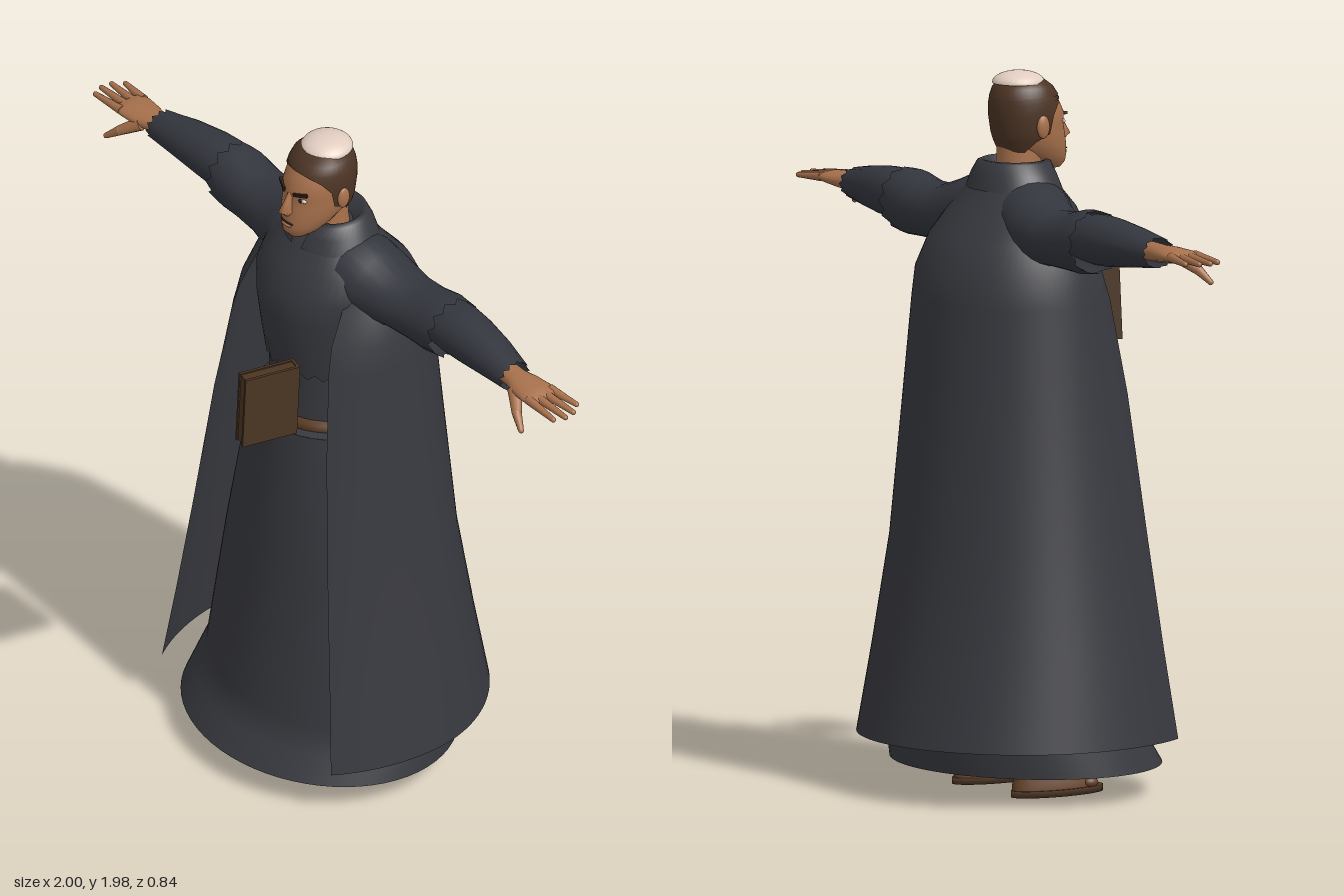
import * as THREE from 'three';
import { mergeVertices } from 'three/addons/utils/BufferGeometryUtils.js';

const material = (name, color, side = THREE.FrontSide) => {
  const m = new THREE.MeshStandardMaterial({ color, side });
  m.name = name;
  return m;
};

// Skin a surface over a row of cross-sections; point(ring, t, row, column) gives each corner
function loft(rows, segments, point) {
  const pos = [], index = [], w = segments + 1;
  rows.forEach((ring, j) => {
    for (let i = 0; i <= segments; i++) pos.push(...point(ring, i / segments, j, i));
  });
  for (let j = 0; j < rows.length - 1; j++) {
    for (let i = 0; i < segments; i++) {
      const a = j * w + i, b = a + 1, c = a + w, d = c + 1;
      index.push(a, b, d, a, d, c);
    }
  }
  const g = new THREE.BufferGeometry();
  g.setAttribute('position', new THREE.Float32BufferAttribute(pos, 3));
  g.setIndex(index);
  const merged = mergeVertices(g, 1e-5);
  merged.computeVertexNormals();
  return merged;
}

// Upright form. Ring: [y, half width, front z, back z, opening angle at the front]
function upright(rings, { cx = 0, cz = null, segments = 40, jag = 0 } = {}) {
  return loft(rings, segments, ([y, rx, zf, zb, open = 0], t, j, i) => {
    const a = open + t * (Math.PI * 2 - 2 * open);
    const mid = cz === null ? (zf + zb) / 2 : cz;
    const c = Math.cos(a);
    const z = mid + (c > 0 ? zf - mid : mid - zb) * c;
    return [cx + rx * Math.sin(a), y + (j === 0 && i % 2 ? jag : 0), z];
  });
}

// Form along the arm. Ring: [x, bottom y, top y, back z, front z]
function sideways(rings, s, jag = 0) {
  return loft(rings, 24, ([x, y0, y1, z0, z1], t, j, i) => {
    const a = t * Math.PI * 2;
    const ragged = j === rings.length - 1 && i % 2 ? jag : 0;
    return [
      s * (x - ragged),
      (y0 + y1) / 2 - s * (y1 - y0) / 2 * Math.sin(a),
      (z0 + z1) / 2 + (z1 - z0) / 2 * Math.cos(a),
    ];
  });
}

export function createModel() {
  const model = new THREE.Group();
  model.name = 'robedFigure';
  const cloth = material('robe cloth', 0x38393f, THREE.DoubleSide);
  const sleeveCloth = material('sleeve cloth', 0x34363e, THREE.DoubleSide);
  const skin = material('skin', 0xa8714c);
  const hairMat = material('hair', 0x4c3424, THREE.DoubleSide);
  const scalp = material('shaved scalp', 0xe2cdc0, THREE.DoubleSide);
  const leather = material('leather', 0x59391f);
  const cover = material('book cover', 0x4b3524);
  const sandal = material('sandal', 0x664329);
  const dark = material('dark features', 0x2a1b14);
  const white = material('eye white', 0xcfc4b8);

  const add = (name, geometry, mat, x = 0, y = 0, z = 0) => {
    const m = new THREE.Mesh(geometry, mat);
    m.name = name;
    m.position.set(x, y, z);
    model.add(m);
    return m;
  };
  const ball = (name, mat, x, y, z, sx, sy, sz) =>
    add(name, new THREE.SphereGeometry(1, 16, 12), mat, x, y, z).scale.set(sx, sy, sz);
  // Tapered limb between two points with a rounded tip
  const limb = (name, mat, p, q, r0, r1) => {
    const a = new THREE.Vector3(...p), b = new THREE.Vector3(...q);
    const d = b.clone().sub(a), mid = a.clone().add(b).multiplyScalar(0.5);
    const m = add(name, new THREE.CylinderGeometry(r1, r0, d.length(), 10), mat, mid.x, mid.y, mid.z);
    m.quaternion.setFromUnitVectors(new THREE.Vector3(0, 1, 0), d.normalize());
    ball(name + 'Tip', mat, ...q, r1, r1, r1);
  };

  // Robe
  add('skirt', upright([
    [0.08, 0.42, 0.39, -0.31], [0.15, 0.408, 0.345, -0.32], [0.215, 0.395, 0.302, -0.32],
    [0.65, 0.32, 0.262, -0.275], [1.0, 0.247, 0.226, -0.225], [1.105, 0.222, 0.216, -0.21],
  ], { segments: 64 }), cloth);
  add('skirtTop', upright([[1.105, 0.222, 0.216, -0.21], [1.112, 0.16, 0.15, -0.15]]), cloth);
  add('waist', upright([
    [1.09, 0.178, 0.178, -0.17], [1.18, 0.17, 0.17, -0.16], [1.3, 0.163, 0.17, -0.16],
  ]), cloth);
  add('belt', upright([
    [1.105, 0.186, 0.19, -0.178], [1.112, 0.192, 0.195, -0.182], [1.13, 0.19, 0.193, -0.18],
    [1.137, 0.176, 0.178, -0.17],
  ]), leather);
  add('tunic', upright([
    [1.268, 0.172, 0.18, -0.168], [1.36, 0.183, 0.194, -0.175], [1.46, 0.2, 0.203, -0.185],
    [1.54, 0.21, 0.198, -0.18], [1.61, 0.19, 0.16, -0.135], [1.66, 0.155, 0.12, -0.115],
    [1.7, 0.105, 0.095, -0.09], [1.7, 0.05, 0.06, -0.04],
  ], { jag: 0.018, segments: 48 }), cloth);
  add('collar', upright([
    [1.66, 0.15, 0.125, -0.122, 0.12], [1.7, 0.128, 0.112, -0.112, 0.22],
    [1.732, 0.105, 0.1, -0.098, 0.5], [1.738, 0.09, 0.085, -0.085, 0.6],
    [1.7, 0.068, 0.07, -0.055, 0.4],
  ]), cloth);

  // Open cloak: [y, half width, back depth, front edge x, front edge z]
  const cloak = [
    [0.157, 0.45, 0.42, 0.362, 0.3], [0.4, 0.415, 0.374, 0.328, 0.276],
    [0.7, 0.37, 0.325, 0.288, 0.25], [1.1, 0.322, 0.293, 0.24, 0.215],
    [1.36, 0.295, 0.271, 0.206, 0.18], [1.44, 0.285, 0.262, 0.195, 0.16],
    [1.53, 0.255, 0.22, 0.18, 0.11], [1.6, 0.215, 0.16, 0.165, 0.05], [1.67, 0.15, 0.11, 0.12, 0.02],
  ].map(([y, rx, back, ex, ez]) => {
    const open = Math.asin(ex / rx);
    return [y, rx, ez / Math.cos(open), -back, open];
  });
  add('cloak', upright(cloak, { cz: 0, segments: 64 }), cloth);

  // Head and face
  add('neck', upright([
    [1.64, 0.07, 0.09, -0.055], [1.72, 0.06, 0.085, -0.045], [1.8, 0.062, 0.1, -0.045],
  ]), skin);
  add('head', upright([
    [1.703, 0, 0.12, 0.12], [1.706, 0.03, 0.147, 0.08], [1.722, 0.048, 0.16, 0.04],
    [1.745, 0.064, 0.162, 0], [1.775, 0.078, 0.158, -0.035], [1.805, 0.084, 0.153, -0.05],
    [1.835, 0.087, 0.146, -0.057], [1.858, 0.088, 0.15, -0.06], [1.89, 0.087, 0.134, -0.06],
    [1.925, 0.079, 0.112, -0.052], [1.95, 0.055, 0.08, -0.035], [1.958, 0, 0.02, 0.02],
  ], { segments: 32 }), skin);
  add('hair', upright([
    [1.76, 0.07, 0.15, -0.04, 2.1], [1.79, 0.086, 0.15, -0.052, 1.75],
    [1.81, 0.091, 0.155, -0.058, 1.35], [1.86, 0.095, 0.154, -0.066, 1.25],
    [1.89, 0.094, 0.14, -0.066, 0.95], [1.905, 0.091, 0.131, -0.064, 0.55],
    [1.912, 0.09, 0.128, -0.063, 0], [1.935, 0.081, 0.112, -0.056], [1.955, 0.06, 0.085, -0.04],
    [1.962, 0, 0.02, 0.02],
  ], { cz: 0.035, segments: 36 }), hairMat);
  add('tonsure', new THREE.SphereGeometry(1, 28, 8, 0, Math.PI * 2, 0, Math.PI / 2), scalp, 0, 1.946, 0.016)
    .scale.set(0.071, 0.033, 0.073);
  add('nose', loft([
    [1.785, 0.016, 0.168], [1.794, 0.018, 0.183], [1.82, 0.012, 0.168], [1.852, 0.008, 0.152],
  ], 12, ([y, r, z], t) => [r * Math.sin(t * 6.2832), y, z - 0.03 + 0.03 * Math.cos(t * 6.2832)]), skin);
  add('noseBase', new THREE.SphereGeometry(0.014, 12, 8), skin, 0, 1.789, 0.156);
  ball('mouth', dark, 0, 1.756, 0.157, 0.026, 0.003, 0.0065);
  ball('lowerLip', skin, 0, 1.748, 0.157, 0.02, 0.006, 0.009);
  for (const s of [1, -1]) {
    ball('ear', skin, s * 0.095, 1.832, 0.035, 0.01, 0.032, 0.02);
    const brow = add('eyebrow', new THREE.BoxGeometry(0.042, 0.009, 0.009), dark, s * 0.038, 1.856, 0.141);
    brow.rotation.set(0, s * 0.42, s * 0.16);
    ball('eye', white, s * 0.036, 1.835, 0.132, 0.017, 0.007, 0.008);
    ball('iris', dark, s * 0.035, 1.835, 0.137, 0.008, 0.007, 0.005);
  }

  for (const s of [1, -1]) {
    // Wide upper sleeve over a narrow lower sleeve, both with ragged cuffs
    add('upperSleeve', sideways([
      [0.05, 1.5, 1.69, -0.11, 0.1], [0.13, 1.475, 1.69, -0.125, 0.11], [0.19, 1.468, 1.664, -0.13, 0.085],
      [0.28, 1.478, 1.634, -0.128, 0.058], [0.36, 1.478, 1.638, -0.128, 0.05],
      [0.43, 1.476, 1.655, -0.13, 0.05], [0.485, 1.484, 1.655, -0.125, 0.045],
    ], s, 0.022), sleeveCloth);
    add('lowerSleeve', sideways([
      [0.4, 1.52, 1.64, -0.115, 0.03], [0.5, 1.51, 1.65, -0.118, 0.035], [0.56, 1.512, 1.648, -0.112, 0.033],
      [0.66, 1.523, 1.635, -0.095, 0.03], [0.765, 1.534, 1.616, -0.07, 0.026],
    ], s, 0.014), sleeveCloth);

    // Hand with four spread fingers and a lowered thumb
    add('palm', sideways([
      [0.72, 1.55, 1.602, -0.055, 0.012], [0.77, 1.55, 1.6, -0.055, 0.015], [0.81, 1.553, 1.6, -0.065, 0.03],
      [0.86, 1.56, 1.597, -0.07, 0.036], [0.89, 1.567, 1.591, -0.066, 0.034], [0.9, 1.578, 1.58, -0.05, 0.02],
    ], s), skin);
    [[-0.056, -0.07, 0.965], [-0.03, -0.04, 0.988], [-0.004, -0.008, 0.993], [0.022, 0.024, 0.98]]
      .forEach(([z0, z1, x]) =>
        limb('finger', skin, [s * 0.87, 1.58, z0], [s * x, 1.574, z1], 0.0135, 0.0075));
    limb('thumbBase', skin, [s * 0.8, 1.57, 0.012], [s * 0.85, 1.535, 0.046], 0.02, 0.014);
    limb('thumb', skin, [s * 0.85, 1.535, 0.046], [s * 0.888, 1.504, 0.062], 0.014, 0.008);

    // Leg, foot and sole
    limb('leg', sleeveCloth, [s * 0.1, 0.95, -0.02], [s * 0.14, 0.1, -0.03], 0.08, 0.05);
    add('foot', upright([
      [0.015, 0.054, 0.178, -0.095], [0.035, 0.052, 0.165, -0.095], [0.055, 0.044, 0.115, -0.09],
      [0.08, 0.038, 0.05, -0.085], [0.14, 0.036, 0.02, -0.075],
    ], { cx: s * 0.145, segments: 24 }), sandal);
    add('sole', upright([
      [0, 0, 0.04, 0.04], [0, 0.06, 0.19, -0.1], [0.018, 0.06, 0.19, -0.1], [0.018, 0, 0.04, 0.04],
    ], { cx: s * 0.147, segments: 28 }), cover);
    for (let i = 0; i < 4; i++) {
      ball('toe', sandal, s * (0.115 + i * 0.023), 0.028, 0.168 - i * 0.012, 0.014, 0.014, 0.022);
    }
  }

  // Floating book: covers, spine and inset pages in one tilted group
  const book = new THREE.Group();
  book.name = 'book';
  const slab = (name, w, h, d, x, z) => {
    const m = new THREE.Mesh(new THREE.BoxGeometry(w, h, d), cover);
    m.name = name;
    m.position.set(x, 0, z);
    book.add(m);
  };
  for (const s of [1, -1]) slab('bookCover', 0.008, 0.222, 0.165, s * 0.018, 0);
  slab('bookPages', 0.03, 0.214, 0.158, 0, 0);
  slab('bookSpine', 0.044, 0.222, 0.008, 0, -0.08);
  book.position.set(0.133, 1.3, 0.335);
  book.rotation.set(-0.04, -0.22, -0.02);
  model.add(book);
  return model;
}
